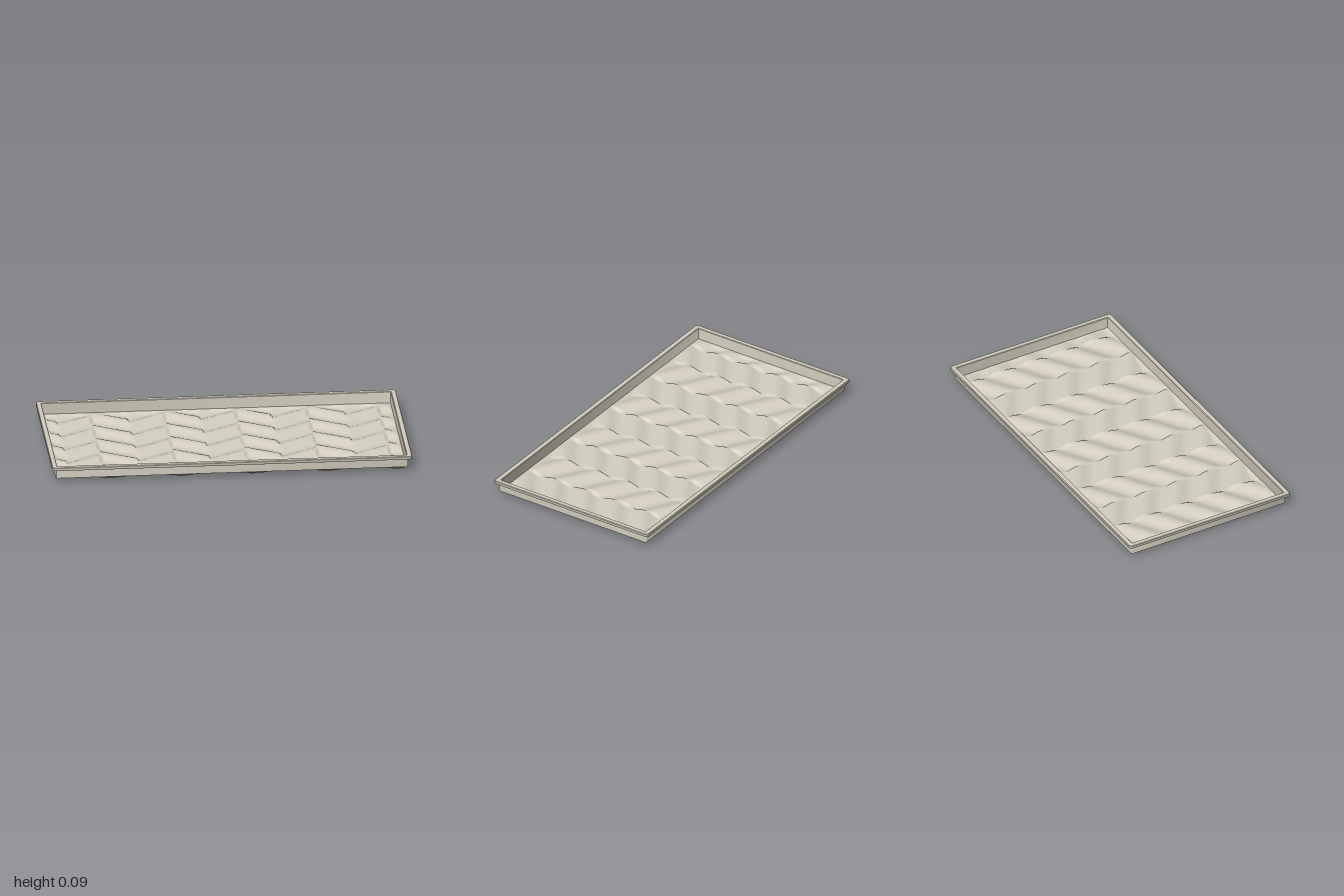
import * as THREE from 'three';
import { toCreasedNormals } from 'three/addons/utils/BufferGeometryUtils.js';

// rounded rectangle loop of points at height y
function ring(hx, hz, r, y) {
  const pts = [];
  for (let c = 0; c < 4; c++) {
    const sx = c === 0 || c === 3 ? 1 : -1, sz = c < 2 ? 1 : -1;
    for (let i = 0; i <= 4; i++) {
      const a = (c + i / 4) * Math.PI / 2;
      pts.push([sx * (hx - r) + r * Math.cos(a), y, sz * (hz - r) + r * Math.sin(a)]);
    }
  }
  return pts;
}

// skin a list of equal-length loops
function loft(rings) {
  const n = rings[0].length, index = [];
  for (let k = 0; k < rings.length - 1; k++) {
    for (let i = 0; i < n; i++) {
      const j = (i + 1) % n, a = k * n + i, b = k * n + j;
      index.push(a, a + n, b, b, a + n, b + n);
    }
  }
  const g = new THREE.BufferGeometry();
  g.setAttribute('position', new THREE.Float32BufferAttribute(rings.flat(2), 3));
  g.setIndex(index);
  return toCreasedNormals(g, 0.6);
}

const HX = 0.979, HZ = 0.492, COLUMN = 0.2, PITCH = 0.2;

// herringbone relief, 0 to 1: slanted ridges that reverse from column to column
function relief(x, z) {
  const u = x / COLUMN + 0.5, col = Math.floor(u), odd = Math.abs(col) % 2;
  const slant = (u - col - 0.5) * (odd ? -1 : 1) * 0.62;
  const phase = z / PITCH + slant + odd * 0.22;
  return 0.5 + 0.5 * Math.sin(phase * Math.PI * 2);
}

// floor sheet that blends to a level edge near the walls
function floorSheet(hx, hz, base, edge, blend, flip) {
  const g = new THREE.PlaneGeometry(hx * 2, hz * 2, 200, 100);
  g.rotateX(-Math.PI / 2);
  const p = g.attributes.position;
  for (let i = 0; i < p.count; i++) {
    const x = p.getX(i), z = p.getZ(i);
    const d = Math.min(hx - Math.abs(x), hz - Math.abs(z));
    const t = THREE.MathUtils.clamp(d / blend, 0, 1);
    p.setY(i, THREE.MathUtils.lerp(edge, base + 0.02 * relief(x, z), t));
  }
  if (flip) {
    const ix = g.index.array;
    for (let i = 0; i < ix.length; i += 3) [ix[i], ix[i + 1]] = [ix[i + 1], ix[i]];
  }
  g.computeVertexNormals();
  return g;
}

export function createModel() {
  const group = new THREE.Group();
  const cream = new THREE.MeshStandardMaterial({ color: 0xd2cdbe });
  cream.name = 'warm cream';
  const add = (name, geometry) => {
    const mesh = new THREE.Mesh(geometry, cream);
    mesh.name = name;
    group.add(mesh);
  };

  // walls and overhanging rim in one profile, from outer foot to inner foot
  add('wallsAndRim', loft([
    ring(HX, HZ, 0.008, 0.024),
    ring(HX, HZ, 0.008, 0.075),
    ring(0.999, 0.513, 0.014, 0.075),
    ring(1, 0.514, 0.015, 0.077),
    ring(1, 0.514, 0.015, 0.09),
    ring(0.997, 0.511, 0.013, 0.093),
    ring(0.974, 0.487, 0.006, 0.093),
    ring(0.971, 0.484, 0.005, 0.09),
    ring(0.969, 0.482, 0.005, 0.024),
  ]));

  // relief floor, inside and underside
  add('floorTop', floorSheet(0.97, 0.483, 0.012, 0.027, 0.025, false));
  add('floorUnderside', floorSheet(HX, HZ, 0, 0.025, 0.036, true));
  return group;
}
